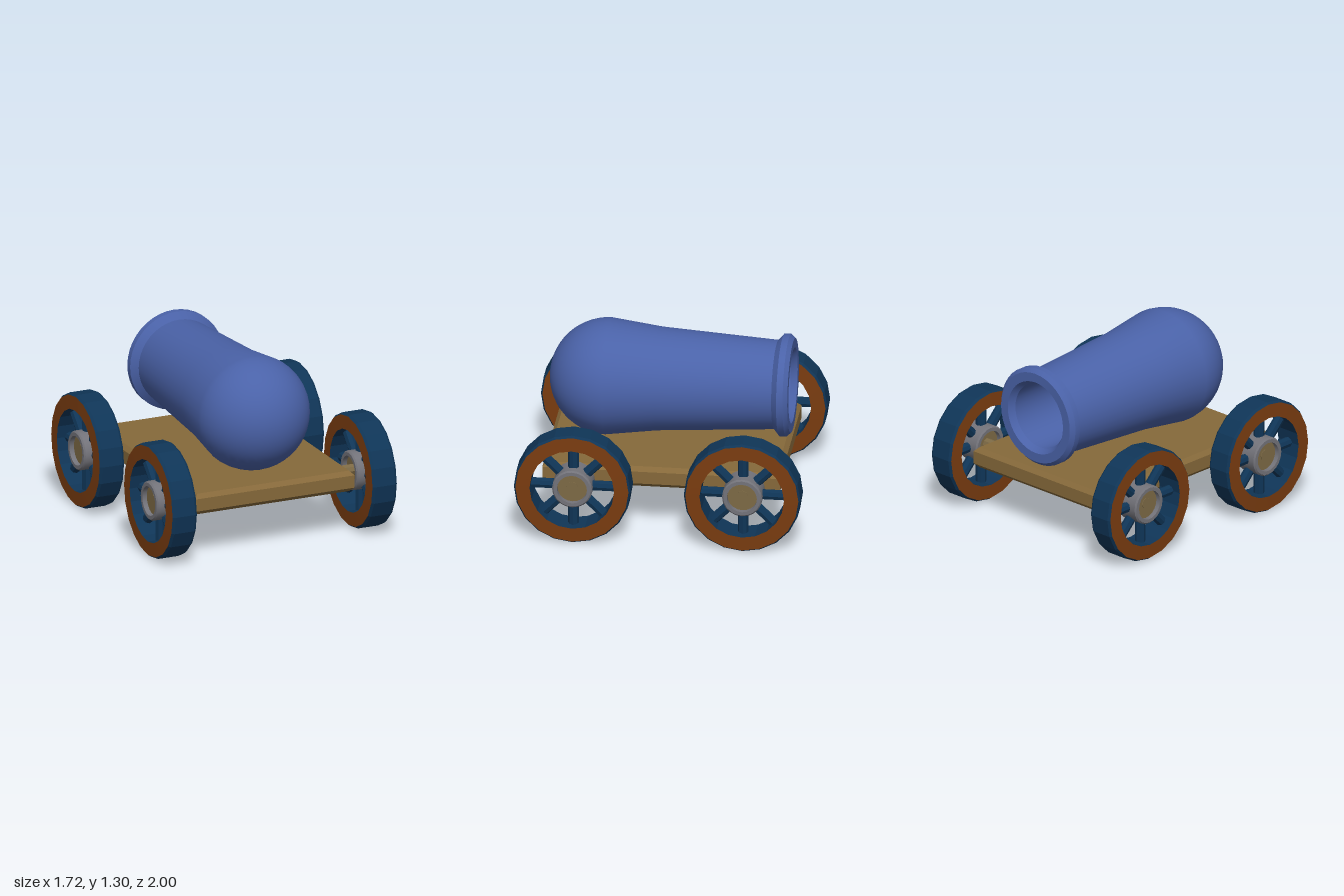
import * as THREE from 'three';
import { toCreasedNormals } from 'three/addons/utils/BufferGeometryUtils.js';

const mat = (color, extra = {}) => new THREE.MeshStandardMaterial({ color, ...extra });
const blue = mat(0x4a62a8);
const navy = mat(0x0f3557);
const brown = mat(0x7a3c10);
const grey = mat(0x73737a);
const wood = mat(0x86693a);
const axleWood = mat(0x7d6a45);

const WHEEL_Y = 0.407, WHEEL_X = 0.765, WHEEL_Z = 0.593;

function addMesh(parent, name, geometry, material) {
  const mesh = new THREE.Mesh(geometry, material);
  mesh.name = name;
  parent.add(mesh);
  return mesh;
}

// Lathe around y from [radius, height] pairs, with sharp edges kept
function turned(points, segments, crease = 0.5) {
  const profile = points.map(([r, h]) => new THREE.Vector2(r, h));
  return toCreasedNormals(new THREE.LatheGeometry(profile, segments), crease);
}

function createBarrel() {
  const points = [
    // bore and muzzle lip
    [0, 0.3], [0.235, 0.3], [0.235, -0.8], [0.265, -0.845], [0.33, -0.845],
    // muzzle ring and tapering body
    [0.357, -0.815], [0.357, -0.77], [0.31, -0.73], [0.36, 0.08],
  ];
  // round breech
  const steps = 14;
  for (let i = 0; i <= steps; i++) {
    const a = (i / steps) * Math.PI / 2;
    points.push([Math.max(0, 0.407 * Math.cos(a)), 0.443 + 0.407 * Math.sin(a)]);
  }
  return turned(points, 40).rotateX(Math.PI / 2).translate(0, 0.89, 0);
}

// Flat plank with chamfered edges
function createBed() {
  const w = 0.58, d = 0.8, bevel = 0.03;
  const shape = new THREE.Shape([
    new THREE.Vector2(-w, -d), new THREE.Vector2(w, -d),
    new THREE.Vector2(w, d), new THREE.Vector2(-w, d),
  ]);
  const geometry = new THREE.ExtrudeGeometry(shape, {
    depth: 0.09, bevelEnabled: true, bevelSegments: 1, bevelSize: bevel, bevelThickness: bevel,
  });
  return geometry.rotateX(-Math.PI / 2).translate(0, 0.365, 0);
}

// Wheel turned about y, then laid on the x axis
function createWheel(name) {
  const wheel = new THREE.Group();
  wheel.name = name;
  const h = 0.093;

  // tread, with small bevels, and inner face of the rim
  addMesh(wheel, 'tyre', turned([
    [0.395, -h], [0.407, -h + 0.017], [0.407, h - 0.017], [0.395, h],
  ], 20, 0.1), navy);
  addMesh(wheel, 'rimInside', turned([[0.295, h + 0.004], [0.295, -h - 0.004]], 20, 0.1), navy);

  // side rings
  addMesh(wheel, 'outerRing', turned([[0.395, h], [0.295, h + 0.004]], 20), brown);
  addMesh(wheel, 'innerRing', turned([[0.295, -h - 0.004], [0.395, -h]], 20), brown);

  // hub sleeve with a recessed core
  addMesh(wheel, 'hub', turned([
    [0.105, -0.09], [0.13, -0.09], [0.14, -0.08], [0.14, 0.08],
    [0.13, 0.09], [0.105, 0.09], [0.105, -0.09],
  ], 20), grey);
  addMesh(wheel, 'hubCore', new THREE.CylinderGeometry(0.106, 0.106, 0.11, 20), axleWood);

  // spokes
  const spoke = new THREE.CylinderGeometry(0.037, 0.037, 0.18, 8)
    .rotateX(Math.PI / 2).translate(0, 0, 0.215);
  const spokeMaterial = mat(0x0f3557, { flatShading: true });
  for (let i = 0; i < 8; i++) {
    addMesh(wheel, 'spoke', spoke, spokeMaterial).rotation.y = i * Math.PI / 4;
  }
  wheel.rotation.z = -Math.PI / 2;
  return wheel;
}

export function createModel() {
  const model = new THREE.Group();
  model.name = 'cannon';

  addMesh(model, 'barrel', createBarrel(), blue);
  addMesh(model, 'bed', createBed(), wood);

  const axleMaterial = mat(0x7d6a45, { flatShading: true });
  for (const [end, sz] of [['front', 1], ['back', -1]]) {
    const axle = new THREE.CylinderGeometry(0.04, 0.04, 1.65, 8).rotateZ(Math.PI / 2);
    addMesh(model, end + 'Axle', axle, axleMaterial).position.set(0, WHEEL_Y + 0.005, sz * WHEEL_Z);
    for (const [side, sx] of [['Left', 1], ['Right', -1]]) {
      const wheel = createWheel(end + side + 'Wheel');
      wheel.position.set(sx * WHEEL_X, WHEEL_Y, sz * WHEEL_Z);
      model.add(wheel);
    }
  }
  return model;
}
